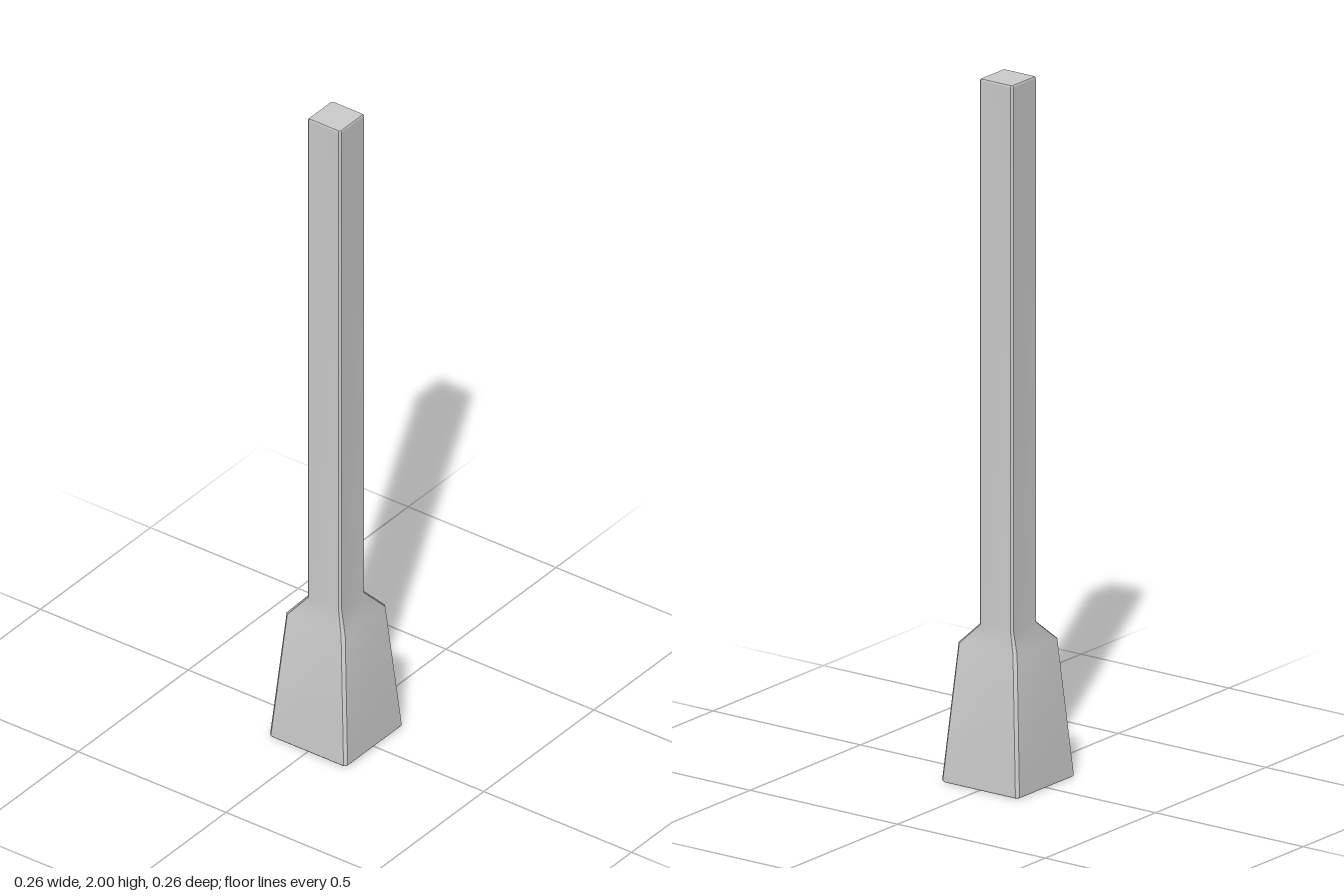
import * as THREE from 'three';

// Profile of the post from bottom to top: [height, half width, corner chamfer]
const PROFILE = [
  [0, 0.127, 0.006],
  [0.005, 0.131, 0.008],
  [0.395, 0.099, 0.008],
  [0.445, 0.057, 0.006],
  [1.995, 0.057, 0.006],
  [2, 0.053, 0.004],
];

// Square cross-section with chamfered corners, counter-clockwise from above
function section([y, h, c]) {
  const k = h - c;
  return [[h, k], [k, h], [-k, h], [-h, k], [-h, -k], [-k, -h], [k, -h], [h, -k]]
    .map(([x, u]) => [x, y, -u]);
}

function createPostGeometry() {
  const rings = PROFILE.map(section);
  const positions = [];
  const indices = [];
  const add = (p) => positions.push(...p) / 3 - 1;

  // Each side is its own strip: smooth along the height, sharp at the corners
  for (let side = 0; side < 8; side++) {
    const start = positions.length / 3;
    rings.forEach((ring) => {
      add(ring[side]);
      add(ring[(side + 1) % 8]);
    });
    for (let r = 0; r < rings.length - 1; r++) {
      const a = start + r * 2;
      indices.push(a, a + 1, a + 3, a, a + 3, a + 2);
    }
  }

  // Flat end caps
  for (const ring of [rings[0].slice().reverse(), rings[rings.length - 1]]) {
    const start = positions.length / 3;
    ring.forEach(add);
    for (let i = 1; i < 7; i++) indices.push(start, start + i, start + i + 1);
  }

  const geometry = new THREE.BufferGeometry();
  geometry.setAttribute('position', new THREE.Float32BufferAttribute(positions, 3));
  geometry.setIndex(indices);
  geometry.computeVertexNormals();
  return geometry;
}

export function createModel() {
  const group = new THREE.Group();
  group.name = 'squarePost';
  const post = new THREE.Mesh(
    createPostGeometry(),
    new THREE.MeshStandardMaterial({ color: 0xcccccc }),
  );
  post.name = 'postWithFlaredBase';
  group.add(post);
  return group;
}
